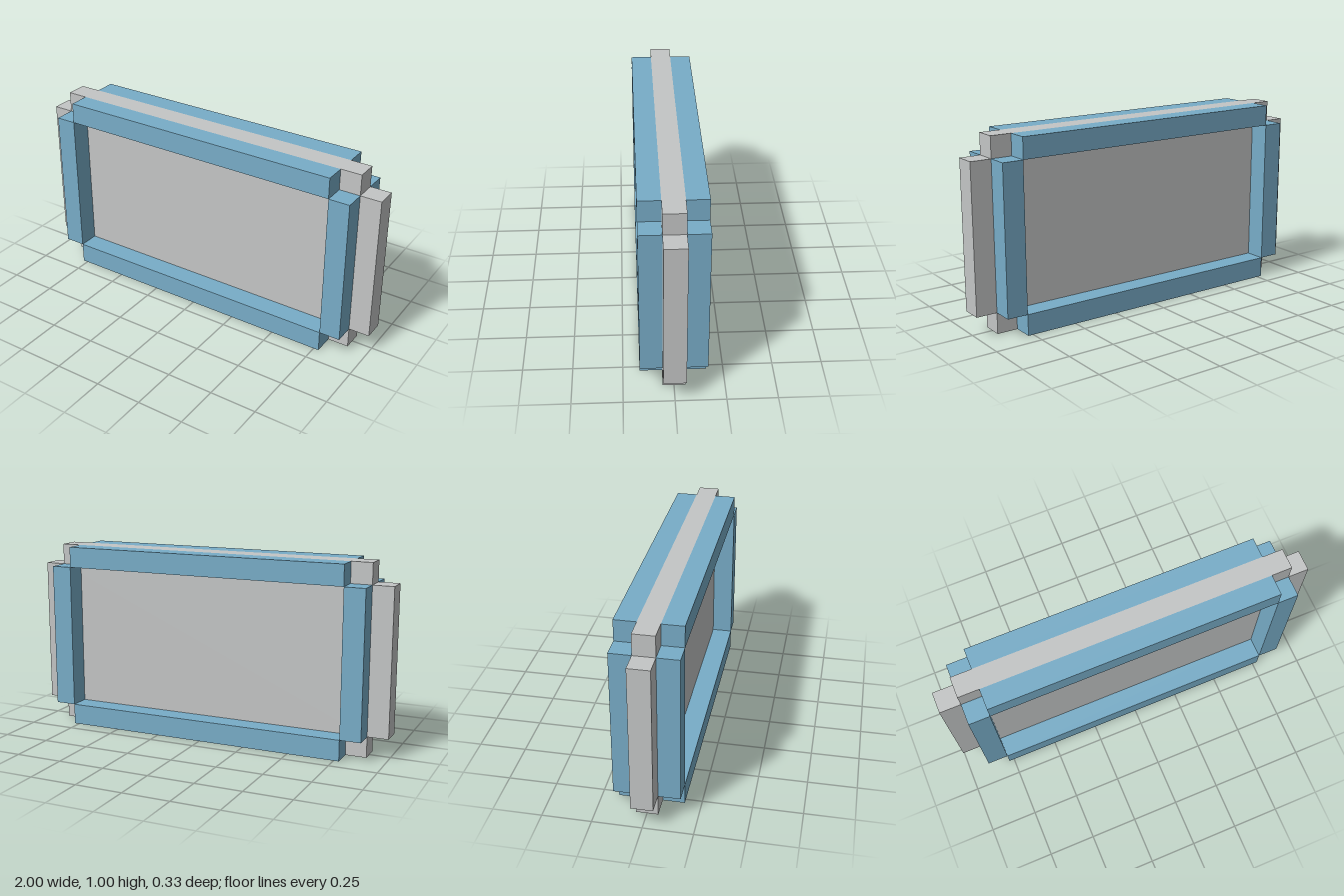
import * as THREE from 'three';

export function createModel() {
  const model = new THREE.Group();
  model.name = 'framedPanel';

  const grey = new THREE.MeshStandardMaterial({ color: 0xc4c6c6 });
  grey.name = 'panel grey';
  const blue = new THREE.MeshStandardMaterial({ color: 0x78adc8 });
  blue.name = 'frame blue';

  const u = 1 / 9; // thickness of the panel and of every bar
  const height = 1;

  // Panel: a slab with its four corners notched out
  const outline = new THREE.Shape([
    [-1 + u, 0], [1 - u, 0], [1 - u, u], [1, u],
    [1, height - u], [1 - u, height - u], [1 - u, height], [-1 + u, height],
    [-1 + u, height - u], [-1, height - u], [-1, u], [-1 + u, u],
  ].map(([x, y]) => new THREE.Vector2(x, y)));
  const slab = new THREE.ExtrudeGeometry(outline, { depth: u, bevelEnabled: false });
  slab.translate(0, 0, -u / 2);
  const panel = new THREE.Mesh(slab, grey);
  panel.name = 'panel';
  model.add(panel);

  const addBar = (name, width, tall, x, y, z) => {
    const bar = new THREE.Mesh(new THREE.BoxGeometry(width, tall, u), blue);
    bar.name = name;
    bar.position.set(x, y, z);
    model.add(bar);
  };

  // Four frame bars on the front and four on the back
  for (const [face, z] of [['front', u], ['back', -u]]) {
    addBar(face + 'TopBar', 2 - 4 * u, u, 0, height - u / 2, z);
    addBar(face + 'BottomBar', 2 - 4 * u, u, 0, u / 2, z);
    addBar(face + 'LeftBar', u, height - 2 * u, 1 - 1.5 * u, height / 2, z);
    addBar(face + 'RightBar', u, height - 2 * u, -1 + 1.5 * u, height / 2, z);
  }
  return model;
}
